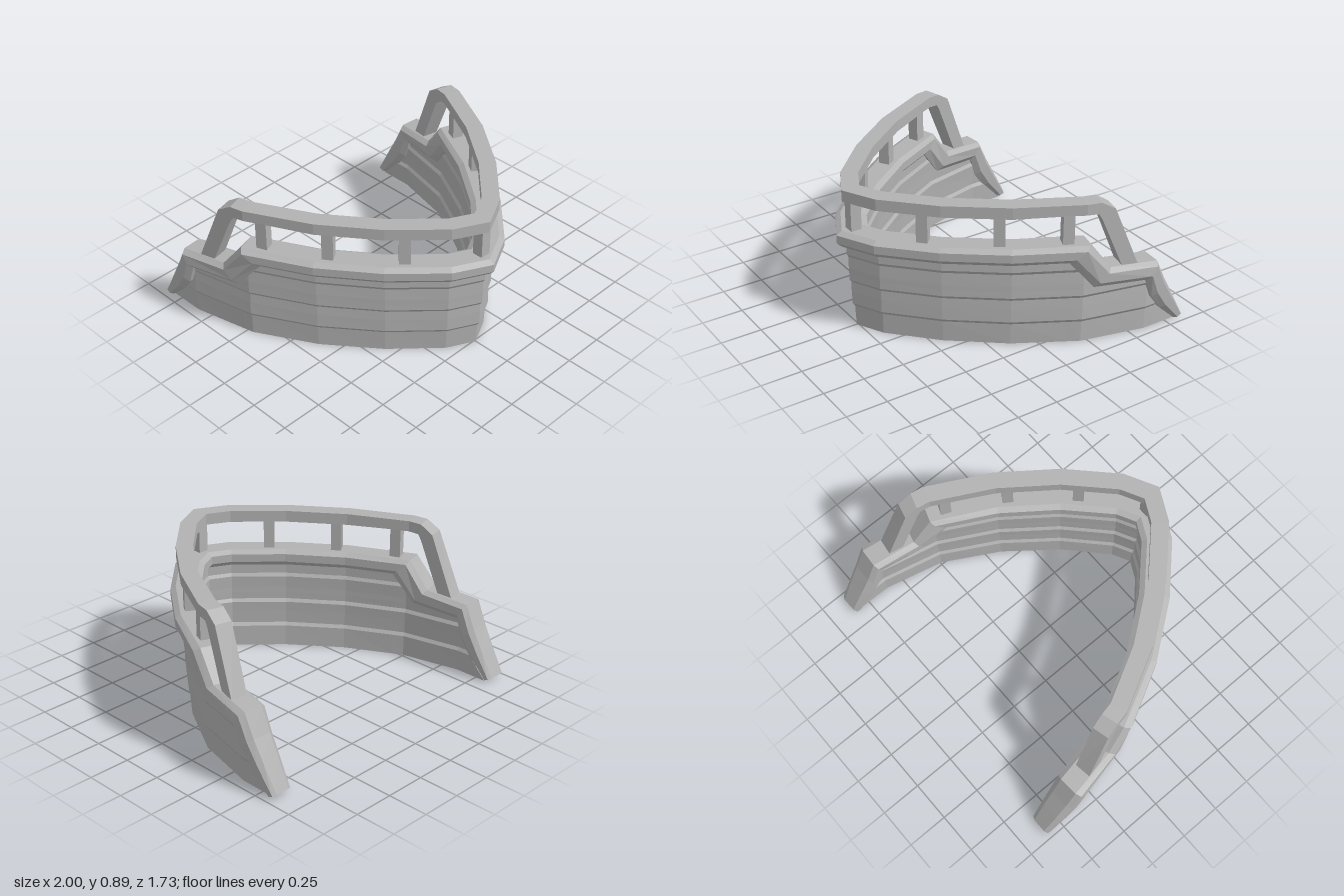
import * as THREE from 'three';

// Plan of the bow: centre line of one side as [x, z], from stem to stern end
const PLAN = [[0, 0.765], [0.165, 0.68], [0.415, 0.435], [0.645, 0.13], [0.83, -0.22], [0.91, -0.6], [0.905, -0.87]];

const segNormal = (a, b) => {
  const dx = b[0] - a[0], dz = b[1] - a[1], l = Math.hypot(dx, dz);
  return [-dz / l, dx / l];
};

// Mitred outward normals at the plan points (mirrored across the stem)
const NORMALS = PLAN.map((p, i) => {
  const n = i < PLAN.length - 1 ? segNormal(p, PLAN[i + 1]) : segNormal(PLAN[i - 1], p);
  const m = i > 0 ? segNormal(PLAN[i - 1], p) : [-n[0], n[1]];
  const k = 1 + n[0] * m[0] + n[1] * m[1];
  return [(n[0] + m[0]) / k, (n[1] + m[1]) / k];
});

// Piecewise linear lookup in a table of [key, value...] rows with rising keys
function lookup(table, key) {
  let i = 0;
  while (i < table.length - 2 && key > table[i + 1][0]) i++;
  const [k0, v0] = table[i], [k1, v1] = table[i + 1];
  return v0 + (v1 - v0) * THREE.MathUtils.clamp((key - k0) / (k1 - k0), 0, 1);
}

const tableOf = (fn) => PLAN.map((p, i) => [-p[1], fn(i)]);
const X = tableOf((i) => PLAN[i][0]);
const NX = tableOf((i) => NORMALS[i][0]);
const NZ = tableOf((i) => NORMALS[i][1]);

// Point at station z and height y, pushed outward by n
function place(z, y, n, side) {
  return [side * (lookup(X, -z) + n * lookup(NX, -z)), y, z + n * lookup(NZ, -z)];
}

// Joins closed sections from one end, round the stem, to the other end.
// section(i) gives a list of [z, y, n]; point k faces point m-1-k across the part.
function sweep(count, section) {
  const rings = [];
  for (let i = count - 1; i > 0; i--) rings.push(section(i).map((p) => place(...p, -1)));
  for (let i = 0; i < count; i++) rings.push(section(i).map((p) => place(...p, 1)));
  const m = rings[0].length, pos = [];
  const quad = (a, b, c, d) => pos.push(...a, ...b, ...c, ...b, ...d, ...c);
  for (let i = 0; i < rings.length - 1; i++) {
    const r = rings[i], s = rings[i + 1];
    for (let k = 0; k < m; k++) {
      const j = (k + 1) % m;
      quad(r[k], s[k], r[j], s[j]);
    }
  }
  const first = rings[0], last = rings[rings.length - 1];
  for (let k = 0; k < m / 2 - 1; k++) {
    const o = m - 1 - k;
    quad(first[o], first[k], first[o - 1], first[k + 1]);
    quad(last[k], last[o], last[k + 1], last[o - 1]);
  }
  const g = new THREE.BufferGeometry();
  g.setAttribute('position', new THREE.Float32BufferAttribute(pos, 3));
  g.computeVertexNormals();
  return g;
}

// Sweep along a band given as [lowZ, lowY, highZ, highY, widthScale];
// profile rows are [outward offset, fraction from low to high]
function sweepBand(path, profile) {
  return sweep(path.length, (i) => {
    const [z0, y0, z1, y1, w = 1] = path[i];
    return profile.map(([n, t]) => [z0 + (z1 - z0) * t, y0 + (y1 - y0) * t, n * w]);
  });
}

// Lapped plank wall: rows of [height, plank step]
function wallGeometry() {
  const rows = [[0, 0.004], [0.13, 0], [0.15, 0.012], [0.23, 0.006], [0.29, 0], [0.31, 0.012],
    [0.35, 0.009], [0.385, 0.007], [0.46, 0], [0.48, 0.01], [0.57, 0.004]];
  const ends = [[0, -0.815], [0.13, -0.69], [0.23, -0.63], [0.35, -0.59], [0.385, -0.28], [0.57, -0.15]];
  const stations = [0.765, 0.68, 0.435, 0.13, -0.15, -0.22, -0.28, -0.45, -0.6, -0.7, -0.82];
  return sweep(stations.length, (i) => {
    const outer = rows.map(([y, step]) => {
      const z = Math.max(stations[i], lookup(ends, y));
      const flare = 0.04 * (1 - y / 0.57) * THREE.MathUtils.clamp((z + 0.8) / 1.4, 0, 1);
      return [z, y, 0.032 - flare + step];
    });
    return [...outer, ...outer.map(([z, y, n]) => [z, y, n - 0.09]).reverse()];
  });
}

export function createModel() {
  const group = new THREE.Group();
  const grey = new THREE.MeshStandardMaterial({ color: 0xb2b2b2 });
  grey.name = 'grey';
  const add = (name, geometry) => {
    const mesh = new THREE.Mesh(geometry, grey);
    mesh.name = name;
    group.add(mesh);
    return mesh;
  };

  add('plankWall', wallGeometry());

  // Bevelled cap that steps down and runs to the foot of the wall
  const front = PLAN.slice(0, 4).map(([, z]) => z);
  const capPath = [
    ...front.map((z) => [z, 0.54, z, 0.64]),
    [-0.14, 0.54, -0.24, 0.64], [-0.27, 0.37, -0.365, 0.475], [-0.58, 0.345, -0.645, 0.45],
    [-0.62, 0.22, -0.71, 0.31, 0.97], [-0.69, 0.12, -0.775, 0.19, 0.9], [-0.81, 0.005, -0.86, 0.03, 0.75],
  ];
  const capHalf = [[0.062, 0], [0.089, 0.3], [0.089, 0.8], [0.058, 1]];
  const mirrored = (half) => [...half, ...half.map(([n, t]) => [-n, t]).reverse()];
  add('wallCap', sweepBand(capPath, mirrored(capHalf)));

  // Handrail, bending down to the step in the cap
  const railPath = [
    ...front.map((z) => [z, 0.82, z, 0.89]),
    [-0.1, 0.825, -0.1, 0.89], [-0.22, 0.825, -0.22, 0.89],
    [-0.285, 0.82, -0.3, 0.887], [-0.305, 0.785, -0.38, 0.835], [-0.44, 0.45, -0.53, 0.45],
  ];
  add('handrail', sweepBand(railPath, mirrored([[0.05, 0], [0.05, 1]])));

  // Posts between cap and handrail
  const post = new THREE.BoxGeometry(0.065, 0.23, 0.065);
  for (const z of [0.76, 0.51, 0.185, -0.14]) {
    for (const side of z > 0.7 ? [1] : [1, -1]) {
      const mesh = add('railPost', post);
      mesh.position.set(...place(z, 0.73, 0, side));
      mesh.rotation.y = z > 0.7 ? 0 : side * Math.atan2(lookup(NX, -z), lookup(NZ, -z));
    }
  }
  return group;
}
